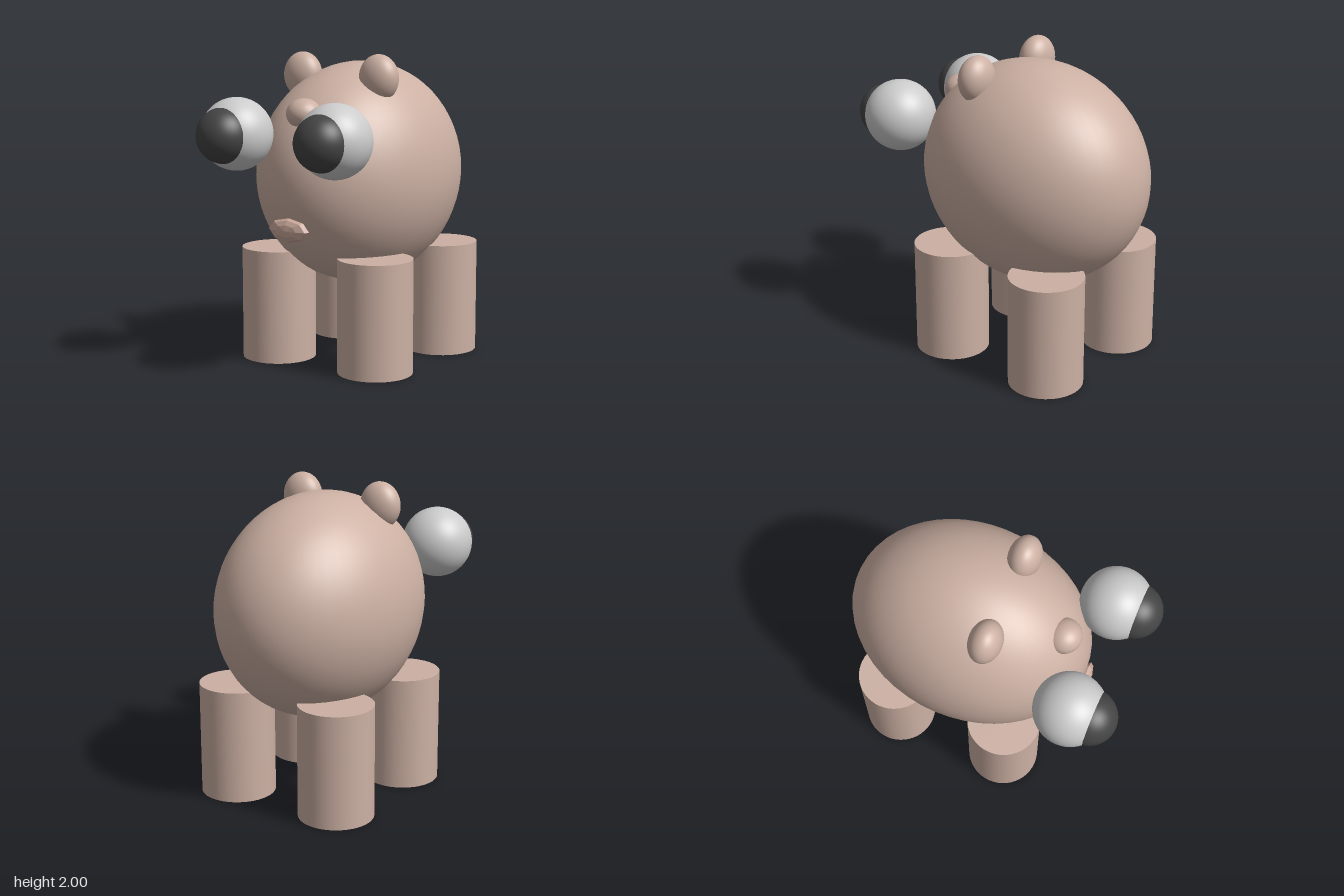
import * as THREE from 'three';

export function createModel() {
  const model = new THREE.Group();
  model.name = 'animal';

  const skin = new THREE.MeshStandardMaterial({ color: 0xccb0a3 });
  const lipSkin = new THREE.MeshStandardMaterial({ color: 0xccaa9c, flatShading: true });
  const eyeWhite = new THREE.MeshStandardMaterial({ color: 0xcccccc });
  const dark = new THREE.MeshStandardMaterial({ color: 0x444444 });

  const ball = new THREE.SphereGeometry(1, 48, 32);

  function add(name, geometry, material, position, scale = [1, 1, 1]) {
    const mesh = new THREE.Mesh(geometry, material);
    mesh.name = name;
    mesh.position.set(...position);
    mesh.scale.set(...scale);
    model.add(mesh);
    return mesh;
  }

  // Egg-like body and round nose
  add('body', ball, skin, [0, 1.22, -0.16], [0.61, 0.72, 0.79]);
  add('nose', ball, skin, [0, 1.64, 0.46], [0.113, 0.096, 0.11]);

  // Faceted mouth, its poles facing front and back
  const lip = new THREE.SphereGeometry(1, 8, 6).rotateX(Math.PI / 2);
  add('mouth', lip, lipSkin, [0, 0.93, 0.622], [0.155, 0.077, 0.043]);

  const legGeometry = new THREE.CylinderGeometry(0.24, 0.24, 0.735, 48);

  for (const [side, s] of [['left', 1], ['right', -1]]) {
    // Bulging eye with a protruding pupil
    add(side + 'Eye', ball, eyeWhite, [s * 0.375, 1.51, 0.66], [0.23, 0.23, 0.23]);
    add(side + 'Pupil', ball, dark, [s * 0.375, 1.51, 0.783], [0.176, 0.176, 0.176]);

    // Ear
    add(side + 'Ear', ball, skin, [s * 0.295, 1.85, 0.07], [0.135, 0.15, 0.103]);

    // Legs
    add(side + 'FrontLeg', legGeometry, skin, [s * 0.38, 0.3675, 0.23]);
    add(side + 'BackLeg', legGeometry, skin, [s * 0.38, 0.3675, -0.56]);
  }

  return model;
}
